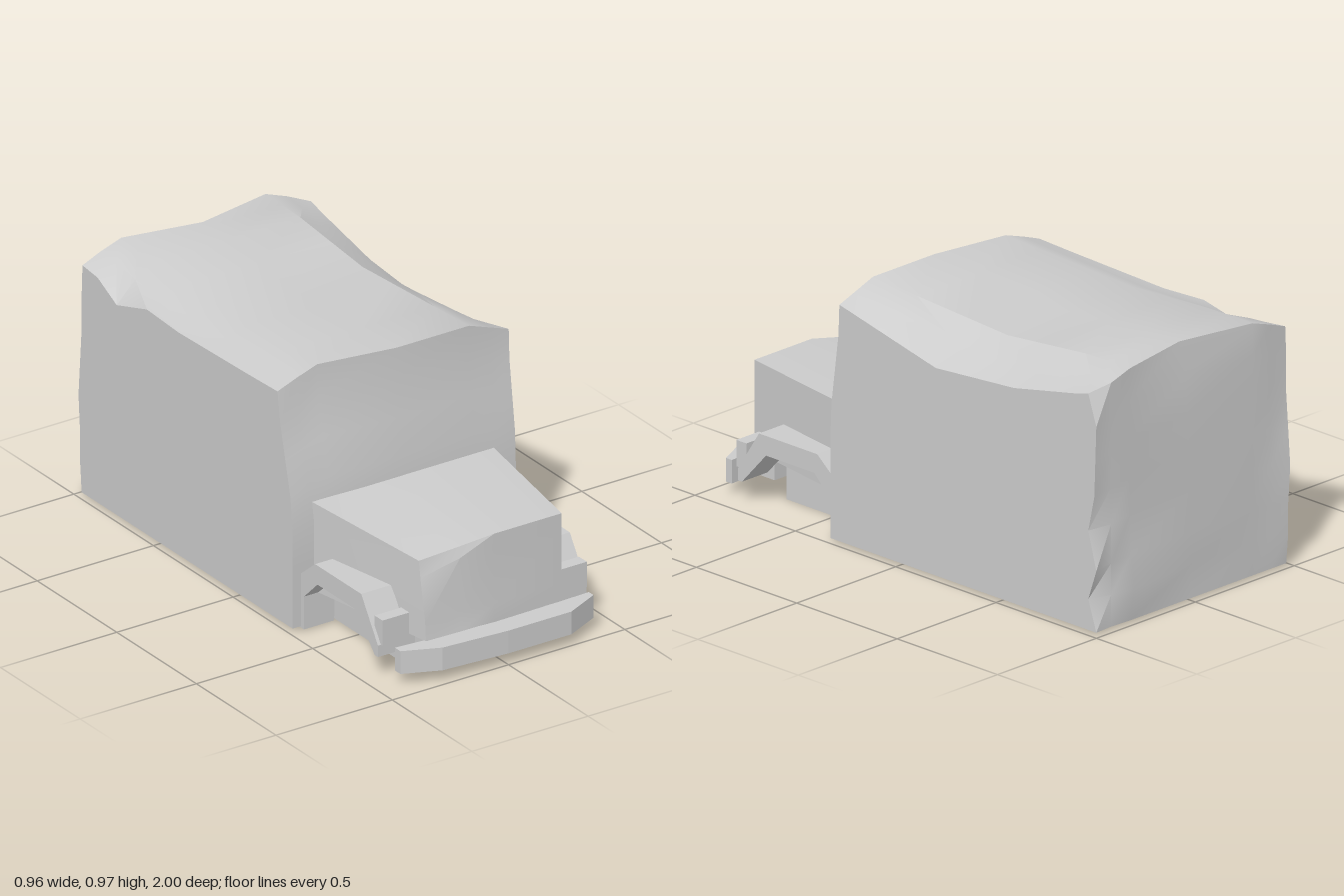
import * as THREE from 'three';
import { toCreasedNormals } from 'three/addons/utils/BufferGeometryUtils.js';

const material = new THREE.MeshStandardMaterial({ color: 0xcccccc, side: THREE.DoubleSide });

// Piecewise linear curve through [t, value] pairs
function curve(points, t) {
  if (t <= points[0][0]) return points[0][1];
  for (let i = 1; i < points.length; i++) {
    const [a, va] = points[i - 1], [b, vb] = points[i];
    if (t <= b) return va + (vb - va) * (t - a) / (b - a);
  }
  return points[points.length - 1][1];
}

// Box whose grid corners (i, j, k) are placed by a rule
function latticeBox(nx, ny, nz, rule, crease = 0.5) {
  const geo = new THREE.BoxGeometry(nx, ny, nz, nx, ny, nz);
  const p = geo.attributes.position;
  for (let n = 0; n < p.count; n++) {
    p.setXYZ(n, ...rule(
      Math.round(p.getX(n) + nx / 2),
      Math.round(p.getY(n) + ny / 2),
      Math.round(p.getZ(n) + nz / 2)));
  }
  return toCreasedNormals(geo, crease);
}

// Van body: dented roof edges, buckled rear, raked windshield
function bodyGeometry() {
  const xs = [-0.48, -0.4, -0.31, 0, 0.31, 0.4, 0.48];
  const levels = [0, 0.13, 0.26, 0.42, 0.57, 0.72, 0.87, 1];
  const zs = [-0.98, -0.88, -0.76, -0.57, -0.37, -0.18, 0.08, 0.3];
  const rearLeft = [-0.98, -0.94, -0.98, -0.94, -0.97, -0.975, -0.98, -0.94];
  const rearRight = [-0.98, -0.99, -0.99, -1, -0.99, -0.98, -0.98, -0.975];
  const rearMid = [-0.98, -0.975, -0.975, -0.97, -0.965, -0.96, -0.95, -0.92];
  const rearOuter = [-0.98, -1, -0.985, -0.98, -0.98, -0.98, -0.98, -0.98];
  const rear = [rearRight, rearOuter.map(() => -0.98), rearOuter.map(() => -0.98),
    rearMid, rearOuter, rearOuter.map(() => -0.975), rearLeft];
  // Roof height along z for each lengthwise line
  const roof = [
    [[-0.95, 0.91], [-0.88, 0.9], [-0.76, 0.84], [-0.57, 0.9], [-0.37, 0.89], [0.3, 0.91]],
    [[-0.9, 0.94], [-0.76, 0.92], [-0.37, 0.91], [0.3, 0.94]],
    [[-0.8, 0.97], [-0.37, 0.945], [0.3, 0.97]],
    [[-0.8, 0.97], [-0.37, 0.935], [0.3, 0.97]],
    [[-0.8, 0.97], [-0.37, 0.93], [0.3, 0.97]],
    [[-0.96, 0.938], [-0.37, 0.87], [0.3, 0.938]],
    [[-0.96, 0.91], [-0.57, 0.83], [-0.18, 0.8], [0.3, 0.91]],
  ];
  return latticeBox(6, 7, 7, (i, j, k) => {
    const top = curve(roof[i], zs[k]);
    const y = 0.01 + levels[j] * (top - 0.01);
    let z = zs[k];
    if (k === 0) z = rear[i][j];
    if (k === 7) {
      z = curve([[0.48, 0.345], [0.83, 0.3]], y);
      z -= curve([[-0.31, 0.05], [0, 0]], xs[i]) * curve([[0.45, 0], [0.9, 1]], y);
    }
    return [xs[i], y, z];
  });
}

// Tapered hood with one crushed front corner and a crease in the grille
function hoodGeometry() {
  const xs = [-0.29, -0.14, 0, 0.29], ys = [0.135, 0.205, 0.42, 0.482];
  return latticeBox(3, 3, 1, (i, j, k) => {
    if (k === 0) return [xs[i] * 0.39 / 0.29, ys[j], 0.33];
    let y = ys[j], z = 0.91;
    if (i === 0) {
      z = [0.905, 0.9, 0.87, 0.86][j];
      y = [0.135, 0.205, 0.37, 0.435][j];
    }
    if (i === 1) {
      z = [0.91, 0.895, 0.9, 0.885][j];
      if (j === 3) y = 0.458;
    }
    return [xs[i], y, z];
  }, 0.35);
}

function shapeOf(points) {
  return new THREE.Shape(points.map(([a, b]) => new THREE.Vector2(a, b)));
}

export function createModel() {
  const model = new THREE.Group();
  const add = (name, geo, x = 0, y = 0, z = 0) => {
    const mesh = new THREE.Mesh(geo, material);
    mesh.name = name;
    mesh.position.set(x, y, z);
    model.add(mesh);
    return mesh;
  };

  add('body', bodyGeometry());
  add('hood', hoodGeometry());
  add('chassis', new THREE.BoxGeometry(0.6, 0.2, 0.45), 0, 0.1, 0.515);

  // Bent bumper, outlined in plan
  const bumper = new THREE.ExtrudeGeometry(shapeOf([
    [-0.41, 0.885], [-0.29, 0.895], [0, 0.915], [0.29, 0.91], [0.41, 0.905],
    [0.41, 0.935], [0.27, 1], [0, 1], [-0.27, 0.98], [-0.41, 0.92],
  ]), { depth: 0.09, bevelEnabled: false });
  bumper.rotateX(Math.PI / 2);
  add('bumper', bumper, 0, 0.135, 0);

  // Angular front fenders, outlined in (z, y)
  const fender = new THREE.ExtrudeGeometry(shapeOf([
    [0.84, 0.085], [0.84, 0.13], [0.735, 0.292], [0.445, 0.292], [0.345, 0.21],
    [0.345, 0.005], [0.375, 0.005], [0.375, 0.135], [0.46, 0.217], [0.7, 0.217], [0.82, 0.085],
  ]), { depth: 0.13, bevelEnabled: false });
  fender.rotateY(-Math.PI / 2);
  fender.translate(0.065, 0, 0);

  for (const side of [-1, 1]) {
    const label = side > 0 ? 'left' : 'right';
    const push = side > 0 ? 0 : -0.01;
    add(label + 'Fender', fender, side * 0.38, 0, push);
    add(label + 'Headlamp', new THREE.BoxGeometry(0.115, 0.1, 0.05), side * 0.375, 0.18, 0.835 + push * 2);
    add(label + 'BumperBracket', new THREE.BoxGeometry(0.06, 0.09, 0.1), side * 0.25, 0.09, 0.87);
  }
  return model;
}
